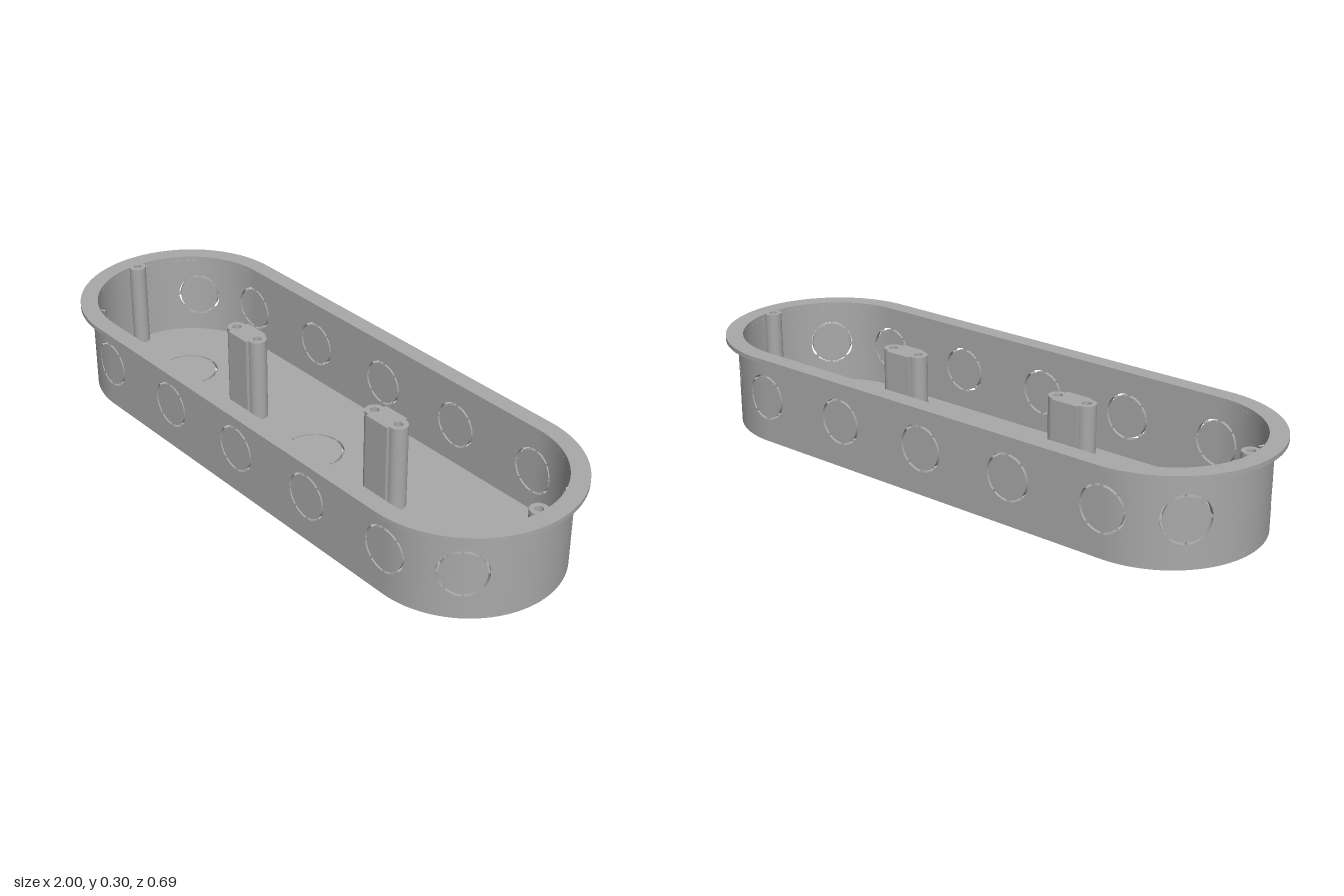
import * as THREE from 'three';

const L = 0.657;                 // half length of the straight sides
const R = 0.305, T = 0.018;      // wall outer radius and thickness
const FLANGE_Y = 0.283, TOP = 0.297, FLOOR = 0.016;
const HOLE_Y = 0.151, STEPS = 72;

// Point on the front half of the wall: s runs along the outline, d into the wall
function wallPoint(s, y, d) {
  const r = R - d, a = Math.abs(s);
  if (a <= L) return new THREE.Vector3(s, y, r);
  const phi = (a - L) / R;
  return new THREE.Vector3(Math.sign(s) * (L + r * Math.sin(phi)), y, r * Math.cos(phi));
}

// Half of the wall: a row of panels, each with a ring of knockout slits
function halfWall() {
  const pos = [], nor = [], rIn = 0.068, rOut = 0.075;
  const quarter = L + R * Math.PI / 2, corner = L + R * Math.PI / 4;
  const centres = [-corner, -0.655, -0.328, 0, 0.328, 0.655, corner];
  const seams = [-quarter, -0.777, -0.49, -0.164, 0.164, 0.49, 0.777, quarter];
  const radii = [0, 0.035, rIn, rOut];

  centres.forEach((c, k) => {
    // layers 0-3 are circles, layers 4-7 spread out to the panel's rectangle
    const uv = (layer, i) => {
      const a = i / STEPS * Math.PI * 2, x = Math.cos(a), y = Math.sin(a);
      if (layer < 4) return [c + radii[layer] * x, HOLE_Y + radii[layer] * y];
      const m = Math.max(Math.abs(x), Math.abs(y)), t = (layer - 3) / 4;
      const ex = x / m * (x > 0 ? seams[k + 1] - c : c - seams[k]);
      const ey = y / m * (y > 0 ? FLANGE_Y - HOLE_Y : HOLE_Y);
      return [c + THREE.MathUtils.lerp(rOut * x, ex, t), HOLE_Y + THREE.MathUtils.lerp(rOut * y, ey, t)];
    };
    // corners are [layer, step, depth]; side is 1 outside, -1 inside, 0 for cut edges
    const quad = (corners, side) => {
      const p = corners.map(([l, i, d]) => wallPoint(...uv(l, i), d));
      const flat = p[2].clone().sub(p[0]).cross(p[3].clone().sub(p[1])).normalize();
      const n = corners.map(([l, i]) => side === 0 ? flat
        : wallPoint(...uv(l, i), 0).sub(wallPoint(...uv(l, i), T)).normalize().multiplyScalar(side));
      for (const j of [0, 1, 2, 0, 2, 3]) {
        pos.push(...p[j].toArray());
        nor.push(...n[j].toArray());
      }
    };
    for (let i = 0; i < STEPS; i++) {
      const bridge = i % 9 === 0, j = i + 1;
      for (let l = 0; l < 7; l++) {
        if (l === 2 && !bridge) continue;
        quad([[l, i, 0], [l + 1, i, 0], [l + 1, j, 0], [l, j, 0]], 1);
        quad([[l, j, T], [l + 1, j, T], [l + 1, i, T], [l, i, T]], -1);
      }
      if (bridge) continue;
      quad([[3, i, 0], [3, j, 0], [3, j, T], [3, i, T]], 0);
      quad([[2, i, T], [2, j, T], [2, j, 0], [2, i, 0]], 0);
      if (i % 9 === 1) quad([[2, i, 0], [3, i, 0], [3, i, T], [2, i, T]], 0);
      if (i % 9 === 8) quad([[2, j, T], [3, j, T], [3, j, 0], [2, j, 0]], 0);
    }
  });
  const g = new THREE.BufferGeometry();
  g.setAttribute('position', new THREE.Float32BufferAttribute(pos, 3));
  g.setAttribute('normal', new THREE.Float32BufferAttribute(nor, 3));
  return g;
}

function stadium(r, Kind = THREE.Shape) {
  const s = new Kind();
  s.absarc(L, 0, r, -Math.PI / 2, Math.PI / 2, false);
  s.absarc(-L, 0, r, Math.PI / 2, Math.PI * 1.5, false);
  s.closePath();
  return s;
}

function circle(x, r) {
  return new THREE.Path().absarc(x, 0, r, 0, Math.PI * 2, true);
}

// Extrude a plan shape upward from y0 to y1
function slab(shape, y0, y1, curveSegments = 32) {
  return new THREE.ExtrudeGeometry(shape, { depth: y1 - y0, bevelEnabled: false, curveSegments })
    .rotateX(-Math.PI / 2).translate(0, y0, 0);
}

export function createModel() {
  const group = new THREE.Group();
  const grey = new THREE.MeshStandardMaterial({ color: 0xa9a9a9 });
  grey.name = 'grey plastic';
  const add = (name, geometry, x = 0) => {
    const mesh = new THREE.Mesh(geometry, grey);
    mesh.name = name;
    mesh.position.x = x;
    group.add(mesh);
    return mesh;
  };

  // Side wall in two matching halves
  const wall = halfWall();
  add('frontWall', wall);
  add('backWall', wall).rotation.y = Math.PI;

  // Floor with three rings of slits
  const floor = stadium(R - 0.0005);
  for (const x of [-0.655, 0, 0.655]) {
    for (let i = 0; i < 8; i++) {
      const a = i * Math.PI / 4 + 0.035, b = (i + 1) * Math.PI / 4 - 0.035;
      const slit = new THREE.Path();
      slit.absarc(x, 0, 0.096, a, b, false);
      slit.absarc(x, 0, 0.089, b, a, true);
      slit.closePath();
      floor.holes.push(slit);
    }
  }
  add('floor', slab(floor, 0, FLOOR, 24));

  // Flange around the top edge
  const flange = stadium(0.343);
  flange.holes.push(stadium(R - T, THREE.Path));
  add('flange', slab(flange, FLANGE_Y, TOP, 40));

  // Two inner posts, each a block with a screw lobe at both ends
  const post = new THREE.Shape();
  post.moveTo(-0.045, -0.04);
  post.lineTo(0.045, -0.04);
  post.lineTo(0.045, -0.03);
  post.absarc(0.052, 0, 0.03, -Math.PI / 2, Math.PI / 2, false);
  post.lineTo(0.045, 0.03);
  post.lineTo(0.045, 0.04);
  post.lineTo(-0.045, 0.04);
  post.lineTo(-0.045, 0.03);
  post.absarc(-0.052, 0, 0.03, Math.PI / 2, Math.PI * 1.5, false);
  post.lineTo(-0.045, -0.03);
  post.holes.push(circle(-0.052, 0.014), circle(0.052, 0.014));
  const postGeometry = slab(post, FLOOR, TOP, 16);

  // Screw bosses on the end walls
  const boss = new THREE.Shape().absarc(0, 0, 0.028, 0, Math.PI * 2, false);
  boss.holes.push(circle(0, 0.013));
  const bossGeometry = slab(boss, FLOOR, TOP + 0.0005, 16);
  for (const side of [-1, 1]) {
    add(side > 0 ? 'leftPost' : 'rightPost', postGeometry, side * 0.328);
    add(side > 0 ? 'leftBoss' : 'rightBoss', bossGeometry, side * 0.932);
  }
  return group;
}
